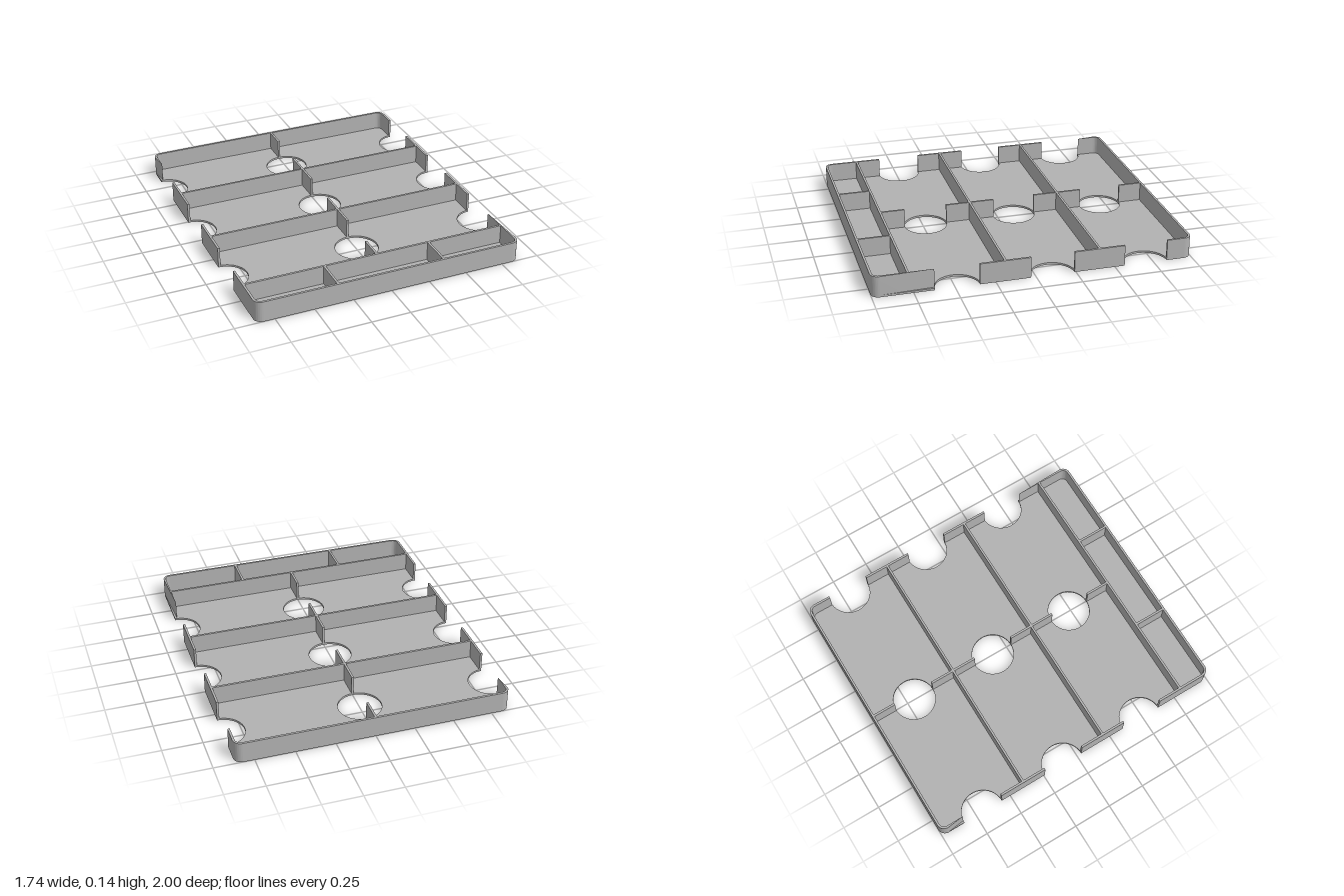
import * as THREE from 'three';
import { toCreasedNormals } from 'three/addons/utils/BufferGeometryUtils.js';

const W = 0.868, L = 1, H = 0.135;     // half width, half length, height
const F = 0.013, T = 0.014, R = 0.05;  // floor thickness, wall thickness, corner radius
const HOLE = 0.137;                    // finger hole radius
const holes = [-0.70, -0.105, 0.485];  // hole centres along z
const dividers = [-0.402, 0.19, 0.78]; // cross dividers along z
const PI = Math.PI;

export function createModel() {
  const tray = new THREE.Group();
  tray.name = 'tray';
  const grey = new THREE.MeshStandardMaterial({ color: 0xb2b2b2 });
  grey.name = 'grey plastic';

  const add = (name, geometry) => {
    const mesh = new THREE.Mesh(geometry, grey);
    mesh.name = name;
    tray.add(mesh);
    return mesh;
  };
  // Extrude an (x, z) outline vertically from y0 to y1
  const slab = (shape, y0, y1) => {
    const g = new THREE.ExtrudeGeometry(shape, { depth: y1 - y0, bevelEnabled: false, curveSegments: 24 });
    g.rotateX(PI / 2).translate(0, y1, 0);
    return toCreasedNormals(g, 0.6);
  };
  // Upright wall standing on the floor
  const wall = (name, x0, x1, z0, z1) => {
    const g = new THREE.BoxGeometry(x1 - x0, H - F, z1 - z0);
    add(name, g.translate((x0 + x1) / 2, (H + F) / 2, (z0 + z1) / 2));
  };

  // Floor: rounded rectangle with half-round side notches and centre holes
  const floor = new THREE.Shape();
  floor.moveTo(-W + R, -L);
  floor.absarc(W - R, -L + R, R, -PI / 2, 0, false);
  for (const z of holes) floor.absarc(W, z, HOLE, -PI / 2, -1.5 * PI, true);
  floor.absarc(W - R, L - R, R, 0, PI / 2, false);
  floor.absarc(-W + R, L - R, R, PI / 2, PI, false);
  for (const z of [...holes].reverse()) floor.absarc(-W, z, HOLE, PI / 2, -PI / 2, true);
  floor.absarc(-W + R, -L + R, R, PI, 1.5 * PI, false);
  for (const z of holes) floor.holes.push(new THREE.Path().absarc(0, z, HOLE, 0, 2 * PI, true));
  add('floor', slab(floor, 0, F));

  // U-shaped end walls with rounded corners
  const endWall = (name, zEnd) => {
    const s = new THREE.Shape();
    s.moveTo(W, zEnd);
    s.absarc(W - R, L - R, R, 0, PI / 2, false);
    s.absarc(-W + R, L - R, R, PI / 2, PI, false);
    s.lineTo(-W, zEnd);
    s.lineTo(-W + T, zEnd);
    s.absarc(-W + R, L - R, R - T, PI, PI / 2, true);
    s.absarc(W - R, L - R, R - T, PI / 2, 0, true);
    s.lineTo(W - T, zEnd);
    return add(name, slab(s, F, H));
  };
  endWall('frontWall', holes[2] + HOLE);
  endWall('backWall', -holes[0] + HOLE).rotation.y = PI;

  // Side walls between the notches
  for (let i = 0; i < 2; i++) {
    const z0 = holes[i] + HOLE, z1 = holes[i + 1] - HOLE;
    wall('leftSideWall', W - T, W, z0, z1);
    wall('rightSideWall', -W, -W + T, z0, z1);
  }

  // Cross dividers, and the centre partition broken by the holes
  dividers.forEach((z, i) => {
    wall('crossDivider', -W + T, W - T, z - T / 2, z + T / 2);
    const start = i ? dividers[i - 1] + T / 2 : -L + T;
    wall('centrePartition', -T / 2, T / 2, start, holes[i] - HOLE);
    wall('centrePartition', -T / 2, T / 2, holes[i] + HOLE, z - T / 2);
  });

  // Small front compartments
  for (const x of [-0.347, 0.347]) {
    wall('frontPartition', x - T / 2, x + T / 2, dividers[2] + T / 2, L - T);
  }
  return tray;
}
